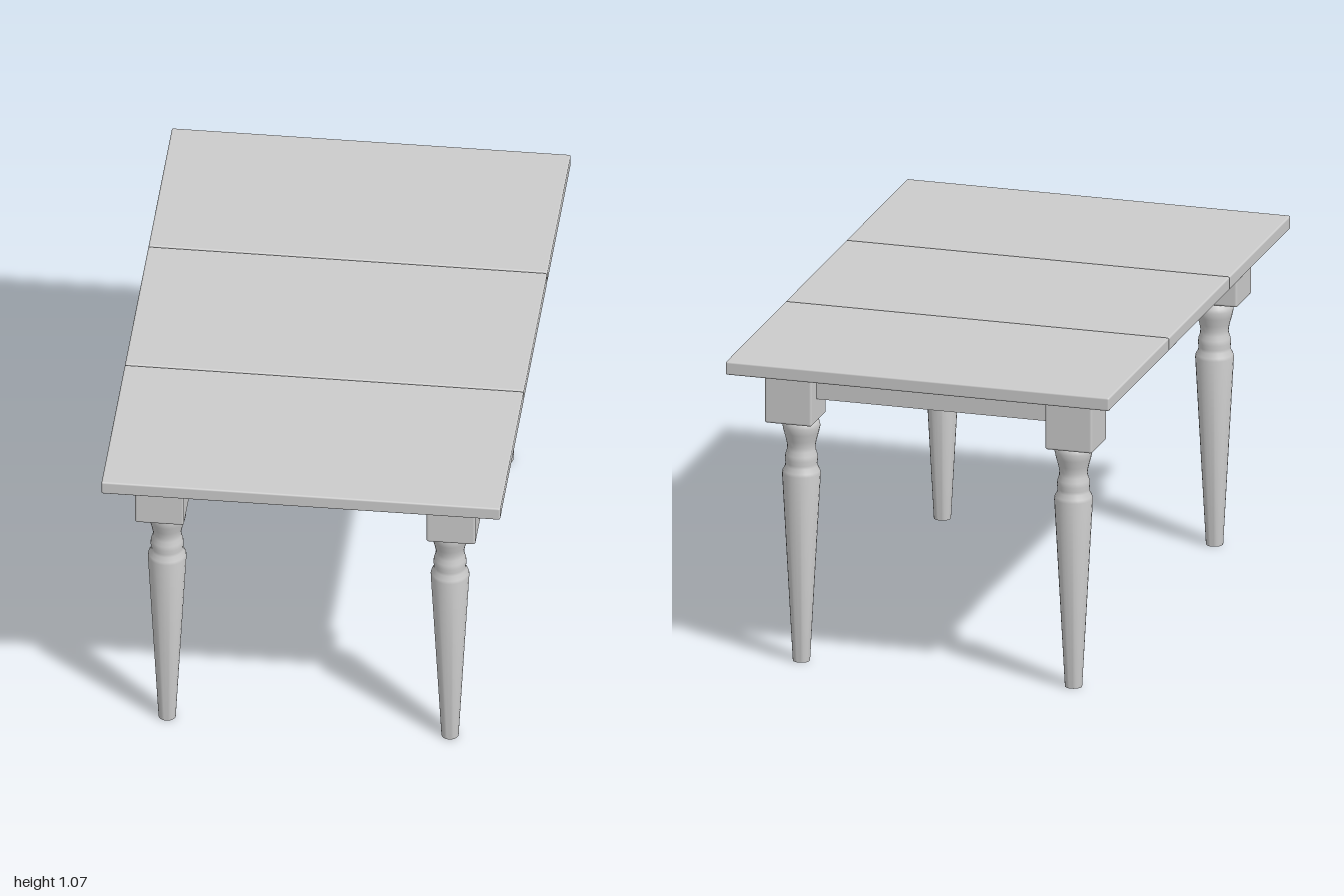
import * as THREE from 'three';
import { RoundedBoxGeometry } from 'three/addons/geometries/RoundedBoxGeometry.js';
import { toCreasedNormals } from 'three/addons/utils/BufferGeometryUtils.js';

const material = new THREE.MeshStandardMaterial({ color: 0xcccccc });

function add(parent, name, geometry, x, y, z) {
  const mesh = new THREE.Mesh(geometry, material);
  mesh.name = name;
  mesh.position.set(x, y, z);
  parent.add(mesh);
  return mesh;
}

// Turned leg: straight taper below a collar, then a bead, a neck and a flared ring
function legGeometry() {
  const profile = [
    [0, 0], [0.028, 0], [0.063, 0.64], [0.061, 0.65], [0.053, 0.665],
    [0.052, 0.675], [0.054, 0.69], [0.052, 0.705], [0.047, 0.72], [0.046, 0.735],
    [0.05, 0.755], [0.057, 0.78], [0.062, 0.803], [0.059, 0.815], [0.05, 0.832], [0, 0.84],
  ].map(([r, y]) => new THREE.Vector2(r, y));
  return toCreasedNormals(new THREE.LatheGeometry(profile, 24), 0.7);
}

export function createModel() {
  const table = new THREE.Group();
  table.name = 'diningTable';

  // Top: two end boards and a middle leaf with thin seams
  const boards = [['frontBoard', 0.667], ['middleLeaf', 0], ['backBoard', -0.667]];
  for (const [name, z] of boards) {
    add(table, name, new RoundedBoxGeometry(1.3, 0.045, 0.664, 2, 0.006), 0, 1.0455, z);
  }

  // Legs with square corner blocks
  const leg = legGeometry();
  const block = new RoundedBoxGeometry(0.16, 0.195, 0.162, 2, 0.008);
  for (const sx of [1, -1]) {
    for (const sz of [1, -1]) {
      const corner = new THREE.Group();
      corner.name = (sz > 0 ? 'front' : 'back') + (sx > 0 ? 'Left' : 'Right') + 'Leg';
      add(corner, 'turnedLeg', leg, sx * 0.461, 0, sz * 0.775);
      add(corner, 'cornerBlock', block, sx * 0.475, 0.9285, sz * 0.797);
      table.add(corner);
    }
  }

  // Apron rails between the blocks
  for (const s of [1, -1]) {
    add(table, s > 0 ? 'frontRail' : 'backRail',
      new THREE.BoxGeometry(0.84, 0.115, 0.05), 0, 0.9675, s * 0.797);
    add(table, s > 0 ? 'leftRail' : 'rightRail',
      new THREE.BoxGeometry(0.05, 0.115, 1.48), s * 0.475, 0.9675, 0);
  }

  return table;
}
